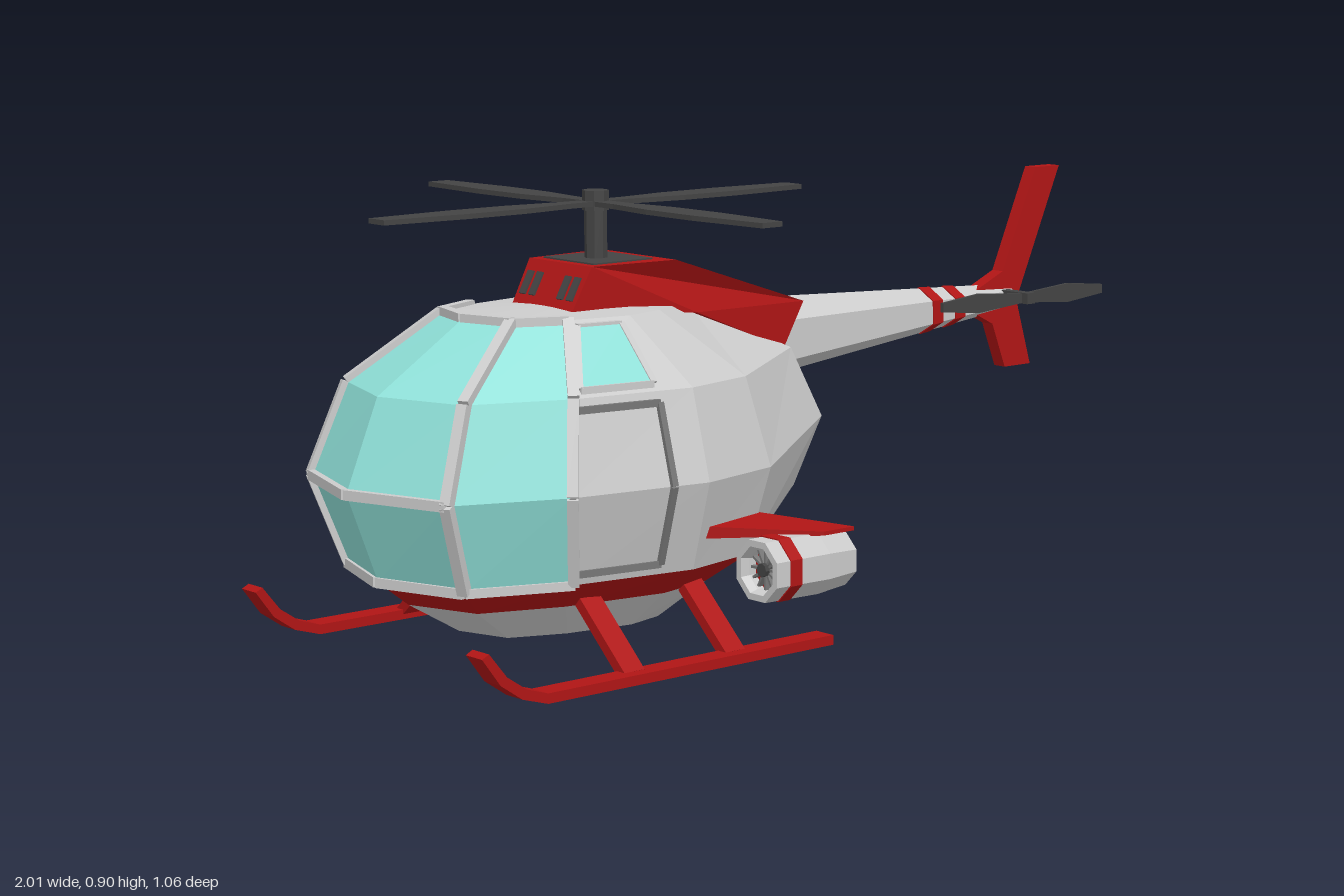
import * as THREE from 'three';

const RED = 0xb01515, DARK = 0x444444, GREY = 0xcccccc, GLASS = 0x8fe0d8, TRIM = 0x777777;
const mat = (color) => new THREE.MeshStandardMaterial({ color, flatShading: true, side: THREE.DoubleSide });
const V = (x, y, z) => new THREE.Vector3(x, y, z);

// Plan outline shared by all fuselage rings: x (nose -1, rear 1) and half width
const HALF = [[-1, 0], [-0.88, 0.62], [-0.5, 0.87], [0, 1], [0.35, 0.87], [0.93, 0.28], [1, 0]];
const PLAN = [...HALF, ...HALF.slice(1, 6).reverse().map(([x, z]) => [x, -z])];
// Rings from belly to roof: front y, rear y, half width, nose x, middle x, rear x
const RINGS = [
  [0.04, 0.04, 0, -0.45, -0.45, -0.45],
  [0.055, 0.055, 0.18, -0.74, -0.45, -0.2],
  [0.125, 0.165, 0.245, -0.86, -0.42, -0.04],
  [0.18, 0.26, 0.31, -0.93, -0.4, 0.1],
  [0.36, 0.4, 0.36, -1, -0.4, 0.17],
  [0.54, 0.55, 0.31, -0.925, -0.4, 0.09],
  [0.672, 0.665, 0.18, -0.72, -0.45, -0.18],
  [0.683, 0.683, 0, -0.45, -0.45, -0.45],
];

function ringPoint(r, k) {
  const [yf, yr, w, nose, mid, rear] = RINGS[r];
  const [u, z] = PLAN[(k + 12) % 12];
  return V(mid + (u < 0 ? u * (mid - nose) : u * (rear - mid)), u > 0.5 ? yr : yf, z * w);
}

// Point on the cabin side wall at fractional ring r and position x
function wall(r, x, side) {
  const i = Math.floor(r), f = r - i;
  const a = ringPoint(i, 2).lerp(ringPoint(i + 1, 2), f);
  const b = ringPoint(i, 3).lerp(ringPoint(i + 1, 3), f);
  const p = a.clone().lerp(b, Math.max(0, (x - a.x) / (b.x - a.x)));
  p.z *= side;
  return p;
}

function quads(list) {
  const pos = [];
  for (const [a, b, c, d] of list)
    for (const t of [[a, b, c], [a, c, d]])
      if (new THREE.Triangle(...t).getArea() > 1e-7) t.forEach((p) => pos.push(p.x, p.y, p.z));
  const g = new THREE.BufferGeometry();
  g.setAttribute('position', new THREE.Float32BufferAttribute(pos, 3));
  g.computeVertexNormals();
  return g;
}

// Flat plate from an outline, centred on z = 0
function plate(points, depth) {
  const shape = new THREE.Shape(points.map(([x, y]) => new THREE.Vector2(x, y)));
  return new THREE.ExtrudeGeometry(shape, { depth, bevelEnabled: false }).translate(0, 0, -depth / 2);
}

// Cylinder along x with corners at top and bottom (turn = half a side)
const tubeX = (r0, r1, len, n, turn = 0) =>
  new THREE.CylinderGeometry(r1, r0, len, n).rotateY(turn).rotateZ(-Math.PI / 2);

export function createModel() {
  const root = new THREE.Group();
  const add = (name, geo, color, parent = root, x = 0, y = 0, z = 0) => {
    const m = new THREE.Mesh(geo, mat(color));
    m.name = name;
    m.position.set(x, y, z);
    parent.add(m);
    return m;
  };
  const bar = (name, a, b, w, h, color) => {
    const m = new THREE.Mesh(new THREE.BoxGeometry(w, h, a.distanceTo(b)), mat(color));
    m.name = name;
    m.position.copy(a).lerp(b, 0.5);
    m.lookAt(b);
    root.add(m);
  };
  const path = (name, pts, w, color) => pts.slice(1).forEach((p, i) => bar(name, pts[i], p, w, w, color));

  // Fuselage skin, red belly band and nose glazing
  const skin = [], band = [], glass = [];
  for (let r = 0; r < 7; r++) for (let k = 0; k < 12; k++) {
    const cell = [ringPoint(r, k), ringPoint(r, k + 1), ringPoint(r + 1, k + 1), ringPoint(r + 1, k)];
    const nose = k < 2 || k > 9;
    (r === 2 ? band : nose && r > 2 && r < 6 ? glass : skin).push(cell);
  }
  add('fuselage', quads(skin), GREY);
  add('bellyBand', quads(band), RED);
  add('noseGlass', quads(glass), GLASS);

  // Window frames, doors and side windows
  for (const s of [1, -1]) {
    for (const k of [1, 2]) path('windscreenPost', [3, 4, 5, 6].map((r) => ringPoint(r, s * k)), 0.022, GREY);
    for (const r of [3, 4, 6]) path('windscreenRail', [ringPoint(r, 0), ringPoint(r, s)], 0.02, GREY);
    for (const r of [3, 6]) path('sideRail', [ringPoint(r, s), ringPoint(r, s * 2)], 0.018, GREY);
    const d = [[3.12, -0.695], [3.12, -0.48], [4, -0.48], [4.88, -0.48], [4.88, -0.675], [4, -0.7], [3.12, -0.695]];
    path('doorFrame', d.map(([r, x]) => wall(r, x, s)), 0.014, TRIM);
    const w = [[5.1, -0.64], [5.1, -0.48], [5.9, -0.48], [5.9, -0.575]].map(([r, x]) => wall(r, x, s));
    const out = V(0, 0.004, 0.004 * s);
    add('sideWindow', quads([w.map((p) => p.clone().add(out))]), GLASS);
    path('sideWindowFrame', [...w, w[0]], 0.014, GREY);
  }

  // Engine cowl, narrowing to the rear
  const cowl = plate([[-0.53, 0.67], [-0.48, 0.762], [-0.28, 0.762], [0.1, 0.642], [0.04, 0.55], [-0.22, 0.65]], 2);
  const cp = cowl.attributes.position;
  for (let i = 0; i < cp.count; i++) {
    const x = cp.getX(i);
    cp.setZ(i, cp.getZ(i) * (x > -0.28 ? 0.118 - (x + 0.28) * 0.11 : 0.118 - (-0.28 - x) * 0.09));
  }
  add('engineCowl', cowl, RED);
  add('mastWell', new THREE.BoxGeometry(0.15, 0.008, 0.16), DARK, root, -0.385, 0.761, 0);
  for (const z of [-0.075, -0.045, 0.045, 0.075])
    add('cowlVent', new THREE.BoxGeometry(0.05, 0.008, 0.018), DARK, root, -0.505, 0.717, z).rotation.z = 1.07;

  // Main rotor
  const rotor = new THREE.Group();
  rotor.name = 'mainRotor';
  rotor.position.set(-0.39, 0, 0);
  root.add(rotor);
  add('mast', new THREE.CylinderGeometry(0.023, 0.023, 0.13, 8), DARK, rotor, 0, 0.815, 0);
  add('rotorHub', new THREE.CylinderGeometry(0.027, 0.027, 0.04, 8), DARK, rotor, 0, 0.88, 0);
  const blade = plate([[0, -0.018], [0.08, -0.02], [0.2, -0.036], [0.34, -0.038], [0.53, -0.025],
    [0.53, 0.025], [0.34, 0.038], [0.2, 0.036], [0.08, 0.02], [0, 0.018]], 0.01).rotateX(Math.PI / 2);
  for (let i = 0; i < 4; i++) add('rotorBlade', blade, DARK, rotor, 0, 0.874, 0).rotation.y = i * Math.PI / 2;

  // Tail boom with two red bands
  const boom = new THREE.Group();
  boom.name = 'tailBoom';
  boom.position.set(0.4, 0.573, 0);
  boom.rotation.z = 0.033;
  root.add(boom);
  add('boomTube', tubeX(0.088, 0.028, 0.76, 6, Math.PI / 6), GREY, boom);
  for (const x of [0.125, 0.197]) {
    const r = 0.061 - x * 0.079;
    add('boomBand', tubeX(r + 0.001, r - 0.002, 0.032, 6, Math.PI / 6), RED, boom, x);
  }

  // Tail fins and tail rotor
  add('upperFin', plate([[0.67, 0.61], [0.75, 0.645], [0.85, 0.87], [0.925, 0.87], [0.8, 0.59], [0.7, 0.585]], 0.032), RED);
  add('lowerFin', plate([[0.66, 0.56], [0.72, 0.53], [0.76, 0.43], [0.84, 0.43], [0.8, 0.56], [0.79, 0.6]], 0.032), RED);
  add('tailRotorShaft', new THREE.BoxGeometry(0.024, 0.024, 0.14), DARK, root, 0.755, 0.592, 0.03);
  add('tailRotorBlades', plate([[-0.25, -0.01], [-0.14, -0.021], [0, -0.01], [0.14, -0.021], [0.25, -0.01],
    [0.25, 0.01], [0.14, 0.021], [0, 0.01], [-0.14, 0.021], [-0.25, 0.01]], 0.008), DARK, root, 0.75, 0.592, 0.08);

  // Paired parts: skids, stub wings and pods
  const skid = plate([[-0.11, 0], [-0.83, 0], [-0.89, 0.018], [-0.94, 0.052], [-0.982, 0.108], [-0.966, 0.116],
    [-0.925, 0.066], [-0.88, 0.036], [-0.83, 0.02], [-0.11, 0.02]], 0.05);
  const podShell = new THREE.LatheGeometry([[0.044, -0.09], [0.05, -0.107], [0.064, -0.107], [0.066, 0.03],
    [0.058, 0.107], [0.046, 0.107], [0.044, -0.09]].map(([r, y]) => new THREE.Vector2(r, y)), 8, Math.PI / 8)
    .rotateZ(-Math.PI / 2);
  for (const s of [1, -1]) {
    add('skid', skid, RED, root, 0, 0, 0.375 * s);
    for (const x of [-0.6, -0.345])
      bar('skidStrut', V(x, 0.012, 0.365 * s), V(x, 0.135, 0.23 * s), 0.05, 0.022, RED);

    // Swept stub wing, thinner at the tip
    const plan = [[-0.42, 0.28], [-0.21, 0.48], [-0.13, 0.48], [-0.21, 0.28]];
    const edge = (h) => plan.map(([x, z], i) => V(x, 0.252 + h * (i % 3 ? 0.004 : 0.014), z * s));
    const top = edge(1), low = edge(-1);
    add('stubWing', quads([top, low, ...top.map((p, i) => [p, top[(i + 1) % 4], low[(i + 1) % 4], low[i]])]), RED);

    // Octagonal pod with a fan in each end
    const pod = new THREE.Group();
    pod.name = 'pod';
    pod.position.set(-0.238, 0.189, 0.435 * s);
    root.add(pod);
    add('podShell', podShell, GREY, pod);
    add('podBand', tubeX(0.067, 0.067, 0.03, 8, Math.PI / 8), RED, pod, -0.058);
    add('podCore', tubeX(0.045, 0.045, 0.14, 8, Math.PI / 8), DARK, pod);
    for (const e of [-0.08, 0.08]) {
      add('fanHub', tubeX(0.014, 0.014, 0.03, 8), DARK, pod, e);
      for (let i = 0; i < 12; i++)
        add('fanBlade', new THREE.BoxGeometry(0.012, 0.03, 0.005).translate(0, 0.026, 0), TRIM, pod, e)
          .rotation.x = i * Math.PI / 6;
    }
  }
  return root;
}
